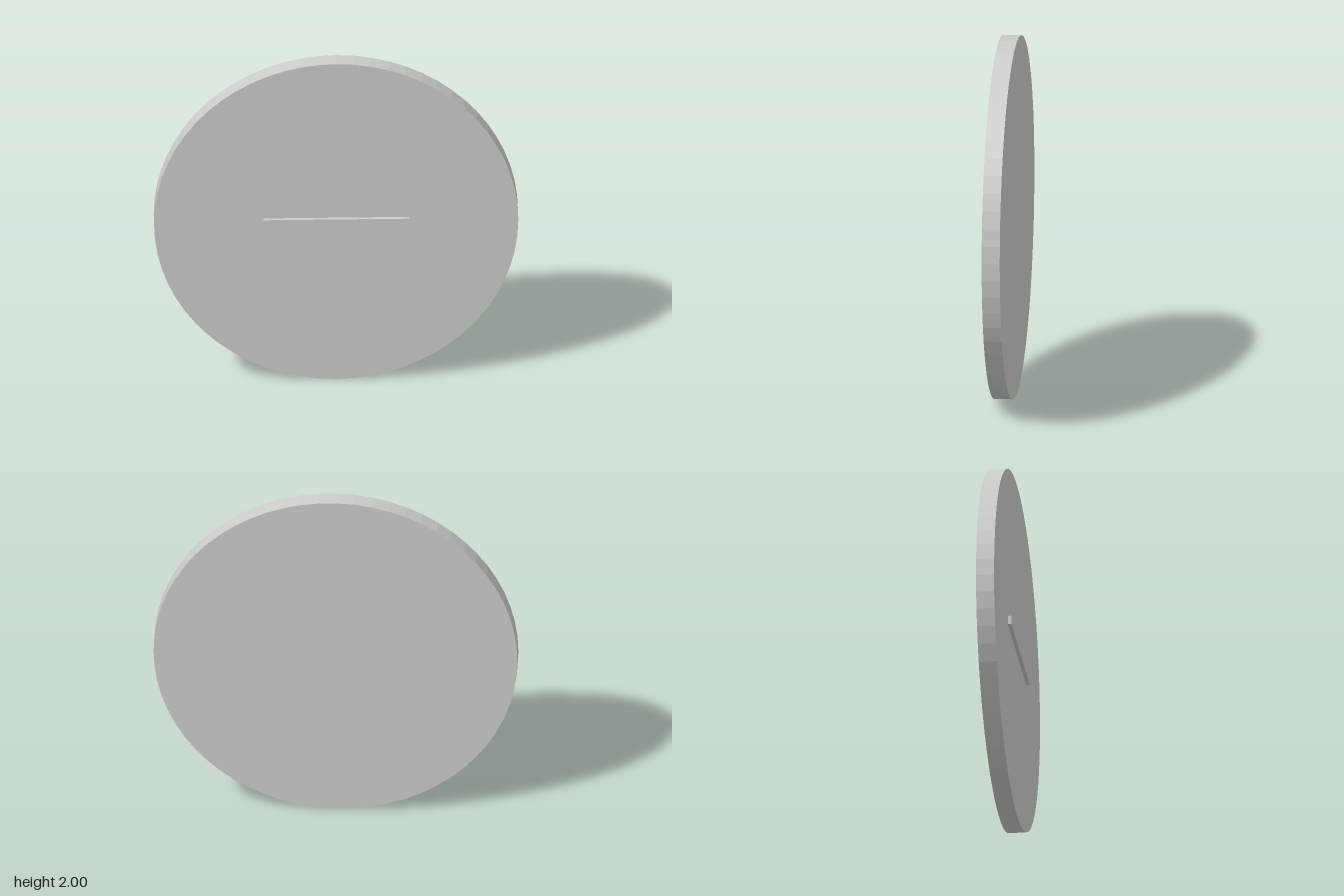
import * as THREE from 'three';

export function createModel() {
  const group = new THREE.Group();
  const material = new THREE.MeshStandardMaterial({ color: 0xcccccc, flatShading: true });

  const add = (name, geometry, z) => {
    const mesh = new THREE.Mesh(geometry, material);
    mesh.name = name;
    mesh.position.set(0, 1, z);
    group.add(mesh);
  };

  // Upright round plate, faceted rim, facing +z
  add('disc', new THREE.CylinderGeometry(1, 1, 0.1, 64).rotateX(Math.PI / 2), -0.01);

  // Thin horizontal bar, half sunk into the front face
  add('frontBar', new THREE.BoxGeometry(0.8, 0.05, 0.04), 0.04);

  return group;
}
